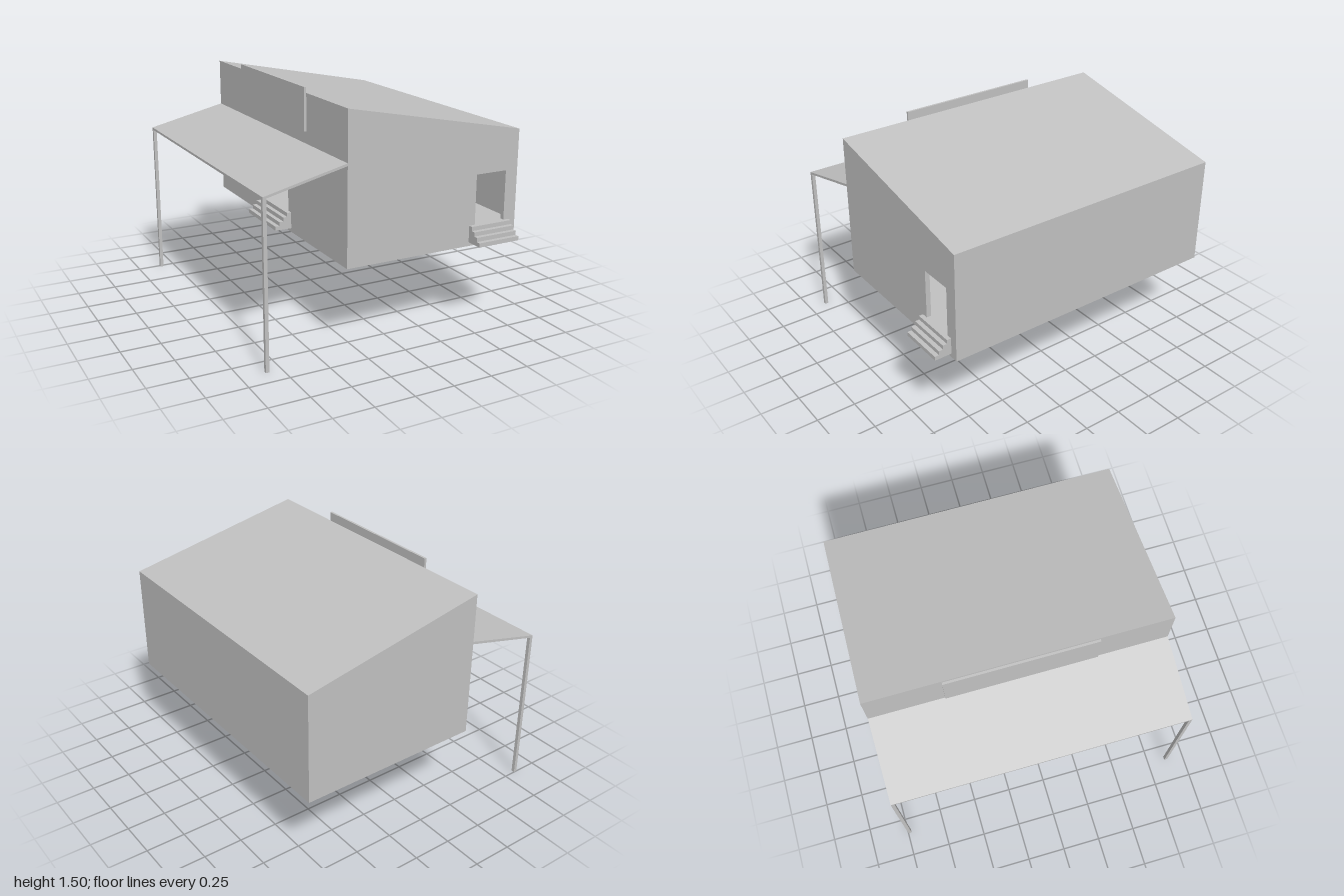
import * as THREE from 'three';

const X0 = -0.335, X1 = 0.845, Z0 = -1, Z1 = 0.89;   // hall footprint
const BASE = 0.53, FLOOR = 0.66, HIGH = 1.46, LOW = 1.225, WALL = 0.03;

export function createModel() {
  const model = new THREE.Group();
  model.name = 'raisedHall';
  const grey = new THREE.MeshStandardMaterial({ color: 0xc0c0c0 });
  grey.name = 'plain grey';

  const add = (name, geometry, parent = model) => {
    const mesh = new THREE.Mesh(geometry, grey);
    mesh.name = name;
    parent.add(mesh);
    return mesh;
  };
  // Box from its minimum and maximum corners
  const box = (name, a, b) => add(name, new THREE.BoxGeometry(b[0] - a[0], b[1] - a[1], b[2] - a[2])
    .translate((a[0] + b[0]) / 2, (a[1] + b[1]) / 2, (a[2] + b[2]) / 2));
  const shapeOf = (pts) => new THREE.Shape(pts.map(([x, y]) => new THREE.Vector2(x, y)));
  const rect = (x0, y0, x1, y1) => [[x0, y0], [x1, y0], [x1, y1], [x0, y1]];
  // Outline in x and y, extruded from z0 to z1, with an optional doorway
  const slab = (name, pts, z0, z1, hole) => {
    const shape = shapeOf(pts);
    if (hole) shape.holes.push(shapeOf(hole));
    return add(name, new THREE.ExtrudeGeometry(shape, { depth: z1 - z0, bevelEnabled: false }).translate(0, 0, z0));
  };

  // Hall: sloped end walls, side walls, floor and single-pitch roof
  const gable = [[X0, BASE], [X1, BASE], [X1, LOW], [X0, HIGH]];
  slab('frontWall', gable, Z1 - WALL, Z1, rect(0.545, FLOOR, 0.76, 0.975));
  slab('backWall', gable, Z0, Z0 + WALL);
  slab('roof', [[X0, HIGH - WALL], [X1, LOW - WALL], [X1, LOW], [X0, HIGH]], Z0 + WALL, Z1 - WALL);
  box('lowSideWall', [X1 - WALL, BASE, Z0 + WALL], [X1, LOW - WALL, Z1 - WALL]);
  box('floor', [X0 + WALL, BASE, Z0 + WALL], [X1 - WALL, FLOOR, Z1 - WALL]);

  // Tall side wall with a wide doorway, drawn flat and turned to face -x
  const sideWall = slab('tallSideWall', rect(Z0 + WALL, BASE, Z1 - WALL, HIGH - WALL), -WALL, 0,
    rect(-0.23, FLOOR, 0.115, 0.975));
  sideWall.rotation.y = -Math.PI / 2;
  sideWall.position.x = X0;

  // Stairs: four-step profile going outward along +x, as wide as asked
  const stairs = (name, width) => {
    const bottom = 0.555, rise = (FLOOR - bottom) / 4, run = 0.11 / 4;
    const pts = [[0, bottom], [4 * run, bottom]];
    for (let i = 0; i < 4; i++) {
      pts.push([(4 - i) * run, bottom + (i + 1) * rise], [(3 - i) * run, bottom + (i + 1) * rise]);
    }
    return slab(name, pts, -width / 2, width / 2);
  };
  const frontStairs = stairs('frontStairs', 0.29);
  frontStairs.rotation.y = -Math.PI / 2;
  frontStairs.position.set(0.65, 0, Z1);
  const sideStairs = stairs('sideStairs', 0.42);
  sideStairs.rotation.y = Math.PI;
  sideStairs.position.set(X0, 0, -0.055);

  // Sloping awning on two posts
  slab('awning', [[-0.85, 1.015], [X0, 1.137], [X0, 1.153], [-0.85, 1.03]], Z0, Z1);
  for (const [name, z] of [['backPost', Z0], ['frontPost', Z1 - 0.022]]) {
    box(name, [-0.85, 0, z], [-0.828, 1.019, z + 0.022]);
  }

  // Blank sign board standing off the tall side
  box('signBoard', [-0.37, 1.24, -0.525], [-0.355, 1.505, 0.42]);
  return model;
}
